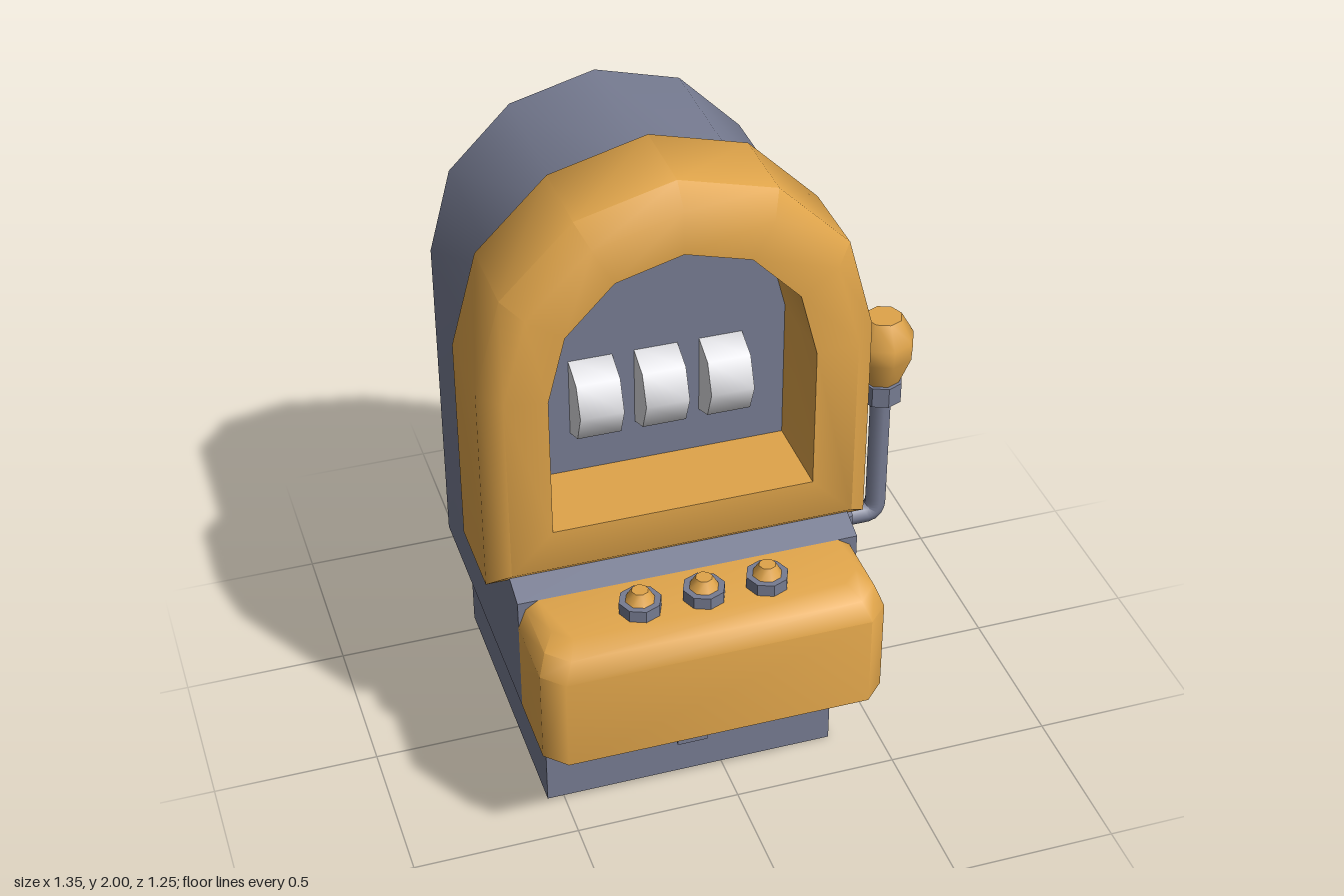
import * as THREE from 'three';
import { toCreasedNormals } from 'three/addons/utils/BufferGeometryUtils.js';

const CX = -0.1; // centre line of the cabinet

const mat = (name, color) => Object.assign(new THREE.MeshStandardMaterial({ color }), { name });

// Skin closed rings of [x, y, z] points, optionally capping both ends
function loft(rings, caps = false) {
  const n = rings[0].length, index = [];
  for (let i = 0; i < rings.length - 1; i++) {
    for (let j = 0; j < n; j++) {
      const a = i * n + j, b = i * n + (j + 1) % n, c = b + n, d = a + n;
      index.push(a, b, c, a, c, d);
    }
  }
  if (caps) {
    const top = (rings.length - 1) * n;
    for (let j = 1; j < n - 1; j++) {
      index.push(0, j + 1, j, top, top + j, top + j + 1);
    }
  }
  const geo = new THREE.BufferGeometry();
  geo.setAttribute('position', new THREE.Float32BufferAttribute(rings.flat(2), 3));
  geo.setIndex(index);
  geo.computeVertexNormals();
  return geo;
}

// Arched outline: straight sides, six-sided half round on top
function archPoints(hw, bottom, spring, rise) {
  const pts = [[CX + hw, bottom]];
  for (let k = 0; k <= 6; k++) {
    const a = (k / 6) * Math.PI;
    pts.push([CX + hw * Math.cos(a), spring + rise * Math.sin(a)]);
  }
  pts.push([CX - hw, bottom]);
  return pts;
}

// Rectangle with cut corners, centred on the origin
function cutRect(w, h, c, Type = THREE.Shape) {
  const x = w / 2, y = h / 2;
  return new Type([[x, c - y], [x, y - c], [x - c, y], [c - x, y], [-x, y - c], [-x, c - y], [c - x, -y], [x - c, -y]]
    .map(p => new THREE.Vector2(...p)));
}

const extrude = (shape, depth, bevel = {}) =>
  new THREE.ExtrudeGeometry(shape, { depth, bevelEnabled: false, ...bevel });

export function createModel() {
  const group = new THREE.Group();
  const grey = mat('slate grey', 0x767b91);
  const gold = mat('golden yellow', 0xdfa44a);
  const white = mat('reel white', 0xdcdce0);

  function add(name, geo, material, x = 0, y = 0, z = 0, crease = 0.6) {
    const mesh = new THREE.Mesh(toCreasedNormals(geo, crease), material);
    mesh.name = name;
    mesh.position.set(x, y, z);
    group.add(mesh);
    return mesh;
  }

  // Pedestal
  add('pedestal', new THREE.BoxGeometry(0.9, 0.39, 0.9), grey, CX, 0.195, -0.11);

  // Arched cabinet; its front face is the reel panel
  const arch = new THREE.Shape(archPoints(0.515, 0.39, 1.42, 0.515).map(p => new THREE.Vector2(...p)));
  add('cabinet', extrude(arch, 0.58), grey, 0, 0, -0.56);

  // Lower front of the cabinet with a sloping top
  const sill = new THREE.Shape([[-0.34, 0.39], [-0.02, 0.39], [-0.02, 0.88], [-0.34, 0.77]]
    .map(p => new THREE.Vector2(...p)));
  add('cabinetSill', extrude(sill, 1.03).rotateY(Math.PI / 2), grey, CX - 0.515);

  // Window frame: outer skin, bevels, front face and inner walls
  const frameRings = [
    [0.515, 0.77, 1.42, 0.515, -0.1],
    [0.578, 0.77, 1.43, 0.57, -0.035],
    [0.578, 0.77, 1.43, 0.57, 0.225],
    [0.515, 0.83, 1.42, 0.515, 0.288],
    [0.39, 0.96, 1.405, 0.4, 0.288],
    [0.39, 0.96, 1.405, 0.4, 0.015],
  ].map(([hw, bottom, spring, rise, z]) => archPoints(hw, bottom, spring, rise).map(p => [...p, z]));
  add('windowFrame', loft(frameRings), gold, 0, 0, 0, 0.9);

  // Reels
  for (const x of [-0.295, -0.1, 0.095]) {
    add('reel', new THREE.CylinderGeometry(0.128, 0.128, 0.13, 8).rotateZ(Math.PI / 2), white, x, 1.218, 0.01, 0.9);
  }

  // Button console with softened top and front corners
  const consoleRings = [
    [0.39, 0.515, 0.628, 0.06],
    [0.685, 0.515, 0.628, 0.06],
    [0.745, 0.492, 0.6, 0.06],
    [0.77, 0.455, 0.535, 0.05],
  ].map(([y, hw, f, c]) => [[-hw, 0.335], [-hw, f - c], [c - hw, f], [hw - c, f], [hw, f - c], [hw, 0.335]]
    .map(([x, z]) => [CX + x, y, z]));
  add('buttonConsole', loft(consoleRings, true), gold, 0, 0, 0, 0.9);

  // Buttons
  for (const x of [-0.29, -0.1, 0.09]) {
    add('buttonBase', new THREE.CylinderGeometry(0.063, 0.063, 0.045, 8), grey, x, 0.785, 0.467);
    add('buttonCap', new THREE.CylinderGeometry(0.025, 0.045, 0.035, 8), gold, x, 0.823, 0.467, 0.9);
  }

  // Coin slot
  const slot = cutRect(0.096, 0.16, 0.002);
  slot.holes.push(cutRect(0.036, 0.1, 0.008, THREE.Path));
  add('coinSlot', extrude(slot, 0.032), grey, CX, 0.21, 0.338);

  // Rear service panel
  add('rearPanel', extrude(cutRect(0.77, 0.9, 0.1), 0.068), grey, CX, 0.58, -0.626);

  // Lever: mount, bent arm, collar and knob
  const mount = extrude(cutRect(0.12, 0.12, 0.018), 0.04,
    { bevelEnabled: true, bevelThickness: 0.03, bevelSize: 0.02, bevelSegments: 1 });
  add('leverMount', mount.rotateY(Math.PI / 2), grey, 0.41, 0.645, 0.083);
  const v = (x, y) => new THREE.Vector3(x, y, 0.083);
  const path = new THREE.CurvePath();
  path.add(new THREE.LineCurve3(v(0.45, 0.645), v(0.54, 0.645)));
  path.add(new THREE.QuadraticBezierCurve3(v(0.54, 0.645), v(0.576, 0.645), v(0.576, 0.69)));
  path.add(new THREE.LineCurve3(v(0.576, 0.69), v(0.576, 1.08)));
  add('leverArm', new THREE.TubeGeometry(path, 40, 0.033, 8), grey, 0, 0, 0, 0.9);
  add('leverCollar', new THREE.CylinderGeometry(0.064, 0.064, 0.065, 8), grey, 0.576, 1.098, 0.083);
  const knob = [[0, 1.125], [0.055, 1.125], [0.092, 1.22], [0.095, 1.275], [0.055, 1.345], [0, 1.345]]
    .map(p => new THREE.Vector2(...p));
  add('leverKnob', new THREE.LatheGeometry(knob, 8), gold, 0.576, 0, 0.078, 0.95);

  return group;
}
